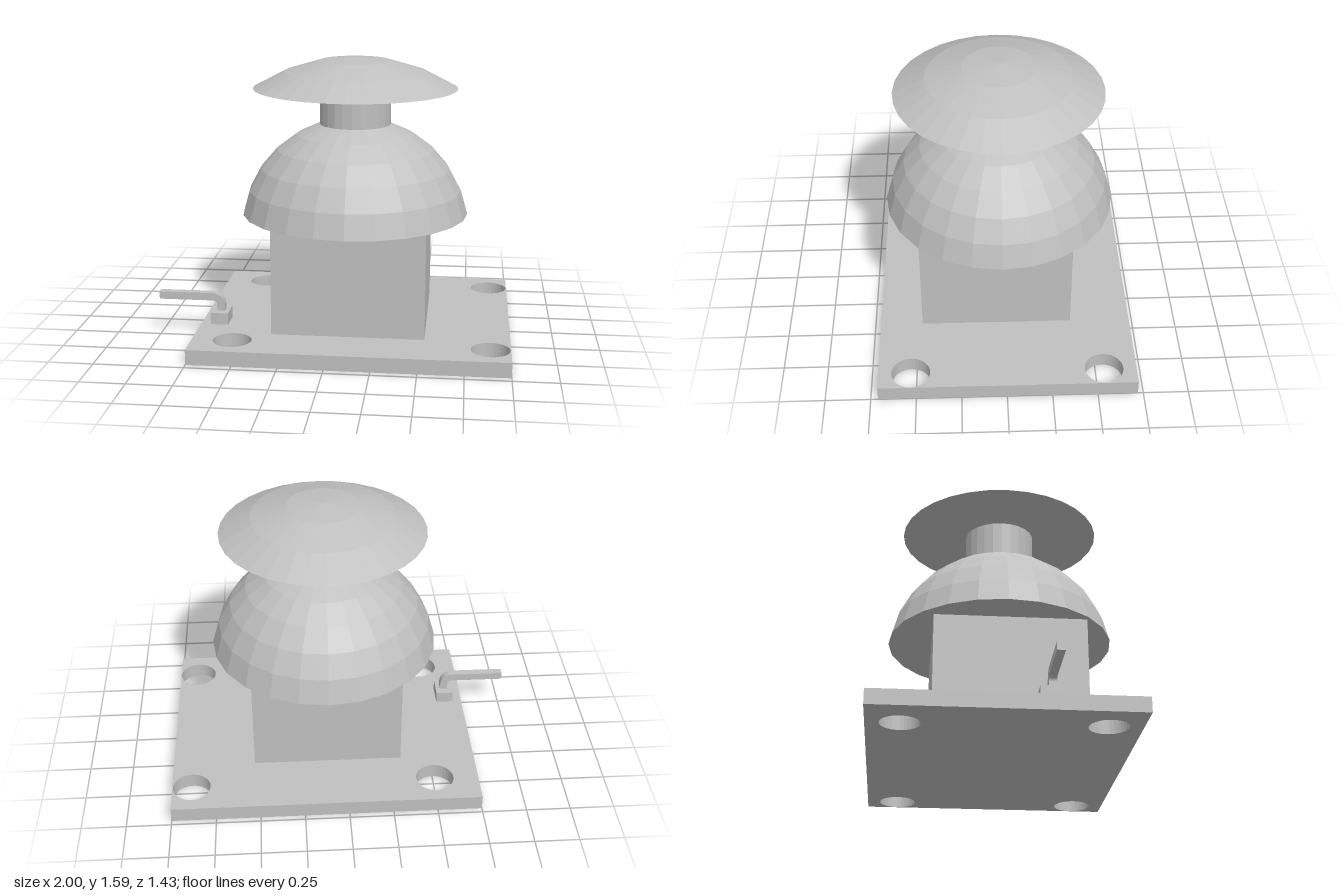
import * as THREE from 'three';

export function createModel() {
  const model = new THREE.Group();
  const grey = new THREE.MeshStandardMaterial({ color: 0xc0c0c0, flatShading: true });
  grey.name = 'plain grey';

  function add(name, geometry, x = 0, y = 0, z = 0) {
    const mesh = new THREE.Mesh(geometry, grey);
    mesh.name = name;
    mesh.position.set(x, y, z);
    model.add(mesh);
    return mesh;
  }
  const box = (name, x0, x1, y0, y1, z0, z1) =>
    add(name, new THREE.BoxGeometry(x1 - x0, y1 - y0, z1 - z0),
      (x0 + x1) / 2, (y0 + y1) / 2, (z0 + z1) / 2);
  // Closed solids turned around the shared vertical axis
  const turned = (name, points, sides) =>
    add(name, new THREE.LatheGeometry(points.map(([r, y]) => new THREE.Vector2(r, y)), sides),
      0.105, 0, 0.017);

  // Base plate with four bolt holes (shape y becomes -z)
  const plate = new THREE.Shape();
  plate.moveTo(-0.75, -0.71).lineTo(1, -0.71).lineTo(1, 0.72).lineTo(-0.75, 0.72).closePath();
  for (const [x, z] of [[-0.5, -0.54], [0.89, -0.54], [-0.525, 0.53], [0.89, 0.53]]) {
    plate.holes.push(new THREE.Path().absarc(x, -z, 0.107, 0, Math.PI * 2, true));
  }
  add('basePlate', new THREE.ExtrudeGeometry(plate, { depth: 0.085, bevelEnabled: false, curveSegments: 16 })
    .rotateX(-Math.PI / 2));

  // Square body, floating just above the plate
  box('body', -0.317, 0.53, 0.105, 0.705, -0.377, 0.47);

  // Faceted dome: a slice of a sphere
  const dome = [[0, 0.705]];
  for (let i = 0; i <= 5; i++) {
    const a = THREE.MathUtils.degToRad(9.6 + i * 12.48);
    dome.push([0.65 * Math.cos(a), 0.597 + 0.65 * Math.sin(a)]);
  }
  dome.push([0, 1.215]);
  turned('dome', dome, 24);

  // Neck and shallow cap
  turned('neck', [[0, 1.21], [0.2, 1.21], [0.2, 1.42], [0, 1.42]], 24);
  turned('cap', [[0, 1.42], [0.575, 1.42], [0.4, 1.512], [0.2, 1.573], [0, 1.592]], 32);

  // Bent lever in its socket
  box('leverSocket', -0.695, -0.595, 0.085, 0.152, 0.158, 0.293);
  const lever = new THREE.Shape();
  lever.moveTo(-1, 0.212).lineTo(-0.69, 0.212);
  lever.absarc(-0.69, 0.187, 0.025, Math.PI / 2, 0, true);
  lever.lineTo(-0.665, 0.15).lineTo(-0.621, 0.15).lineTo(-0.621, 0.187);
  lever.absarc(-0.69, 0.187, 0.069, 0, Math.PI / 2, false);
  lever.lineTo(-1, 0.256).closePath();
  add('lever', new THREE.ExtrudeGeometry(lever, { depth: 0.044, bevelEnabled: false, curveSegments: 6 }),
    0, 0, 0.204);

  return model;
}
